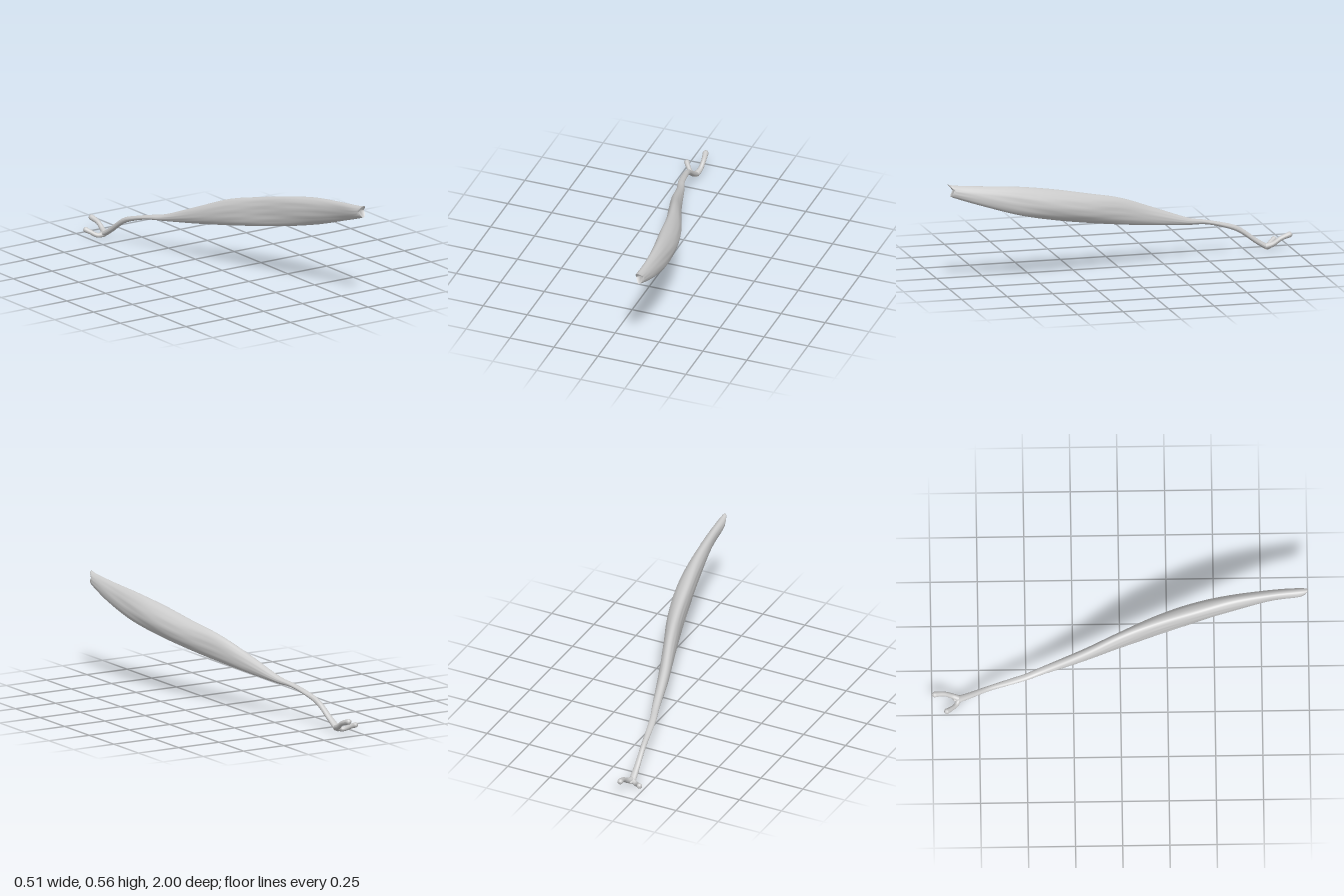
import * as THREE from 'three';

const material = new THREE.MeshStandardMaterial({ color: 0xcccccc, roughness: 0.8, side: THREE.DoubleSide });

// Belly stations: z, top x, top y, bottom x, bottom y, half thickness, sideways bow
const STATIONS = [
  [1.00, 0.222, 0.565, 0.230, 0.500, 0.017, 0.000],
  [0.95, 0.218, 0.555, 0.234, 0.485, 0.024, 0.000],
  [0.80, 0.207, 0.540, 0.237, 0.435, 0.029, 0.002],
  [0.60, 0.185, 0.520, 0.212, 0.370, 0.041, 0.002],
  [0.40, 0.145, 0.485, 0.160, 0.320, 0.050, 0.014],
  [0.20, 0.103, 0.440, 0.102, 0.280, 0.046, 0.014],
  [0.00, 0.045, 0.390, 0.045, 0.245, 0.037, 0.002],
  [-0.20, -0.025, 0.310, -0.014, 0.215, 0.031, 0.000],
  [-0.40, -0.080, 0.230, -0.073, 0.190, 0.022, 0.000],
  [-0.50, -0.112, 0.205, -0.108, 0.180, 0.019, 0.000],
  [-0.60, -0.133, 0.180, -0.131, 0.155, 0.017, 0.000],
  [-0.70, -0.150, 0.147, -0.150, 0.115, 0.015, 0.000],
  [-0.80, -0.162, 0.076, -0.162, 0.043, 0.017, 0.000],
  [-0.86, -0.168, 0.038, -0.168, 0.008, 0.019, 0.000],
  [-0.885, -0.168, 0.030, -0.168, 0.014, 0.010, 0.000],
];

function spline(pick) {
  return new THREE.CatmullRomCurve3(STATIONS.map(s => new THREE.Vector3(...pick(s))), false, 'catmullrom', 0.5);
}

// Flattened spindle lofted along z, with shallow lengthwise fibre grooves
function bellyGeometry() {
  const top = spline(s => [s[1], s[2], s[0]]);
  const bottom = spline(s => [s[3], s[4], s[0]]);
  const girth = spline(s => [s[5], s[6], s[0]]);
  const rings = 112, sides = 48;
  const positions = [], index = [];

  for (let i = 0; i <= rings; i++) {
    const u = i / rings;
    const a = top.getPoint(u), b = bottom.getPoint(u), g = girth.getPoint(u);
    const mid = a.clone().add(b).multiplyScalar(0.5);
    const half = a.clone().sub(b).multiplyScalar(0.5);
    const across = new THREE.Vector2(half.y, -half.x).normalize();
    const endFade = Math.max(0, 1 - u * 12);
    for (let j = 0; j < sides; j++) {
      const angle = j / sides * Math.PI * 2;
      const c = Math.cos(angle), s = Math.sin(angle);
      const grooves = Math.sin(angle * 9 + Math.sin(u * 17) * 1.5) * Math.sin(u * 31 + angle * 3)
        + 0.6 * Math.sin(angle * 14 - u * 23);
      const k = 1 + 0.022 * grooves;
      const side = g.x * s * k + g.y * (1 - c * c);
      // The cut end is notched between an upper and a lower lobe
      const notch = -0.03 * endFade * (1 - Math.abs(c)) - 0.012 * endFade * Math.max(0, -c);
      positions.push(mid.x + half.x * c + across.x * side,
        mid.y + half.y * c + across.y * side, mid.z + notch);
    }
  }

  for (let i = 0; i < rings; i++) {
    for (let j = 0; j < sides; j++) {
      const n = (j + 1) % sides;
      const p = i * sides + j, q = i * sides + n;
      index.push(p, p + sides, q, q, p + sides, q + sides);
    }
  }

  // Hollowed front end and closed back end
  const front = positions.length / 3;
  positions.push(0.227, 0.53, 0.955, -0.168, 0.022, -0.89);
  const last = rings * sides;
  for (let j = 0; j < sides; j++) {
    const n = (j + 1) % sides;
    index.push(front, j, n, front + 1, last + n, last + j);
  }

  const geometry = new THREE.BufferGeometry();
  geometry.setAttribute('position', new THREE.Float32BufferAttribute(positions, 3));
  geometry.setIndex(index);
  geometry.computeVertexNormals();
  return geometry;
}

// Tendon slip: a tube whose radius swells towards a rounded tip
function slipGeometry(points, radius) {
  const curve = new THREE.CatmullRomCurve3(points.map(p => new THREE.Vector3(...p)));
  const rings = 32, sides = 16;
  const geometry = new THREE.TubeGeometry(curve, rings, 1, sides);
  const pos = geometry.attributes.position;
  const v = new THREE.Vector3();
  for (let i = 0; i <= rings; i++) {
    const u = i / rings;
    const centre = curve.getPointAt(u);
    const round = Math.sqrt(Math.max(0, 1 - Math.pow(Math.max(0, (u - 0.88) / 0.12), 2)));
    const r = radius * (1 - 0.25 * Math.sin(u * Math.PI)) * round;
    for (let j = 0; j <= sides; j++) {
      const k = i * (sides + 1) + j;
      v.fromBufferAttribute(pos, k).sub(centre).multiplyScalar(r).add(centre);
      pos.setXYZ(k, v.x, v.y, v.z);
    }
  }
  geometry.computeVertexNormals();
  return geometry;
}

export function createModel() {
  const group = new THREE.Group();
  group.name = 'forkedMuscle';
  const add = (name, geometry) => {
    const mesh = new THREE.Mesh(geometry, material);
    mesh.name = name;
    group.add(mesh);
  };

  add('muscleBelly', bellyGeometry());
  add('outerTendonSlip', slipGeometry(
    [[-0.165, 0.024, -0.855], [-0.198, 0.016, -0.872], [-0.228, 0.033, -0.902], [-0.25, 0.048, -0.932]], 0.016));
  add('innerTendonSlip', slipGeometry(
    [[-0.165, 0.024, -0.855], [-0.155, 0.036, -0.89], [-0.153, 0.065, -0.935], [-0.164, 0.086, -1.0]], 0.017));
  return group;
}
